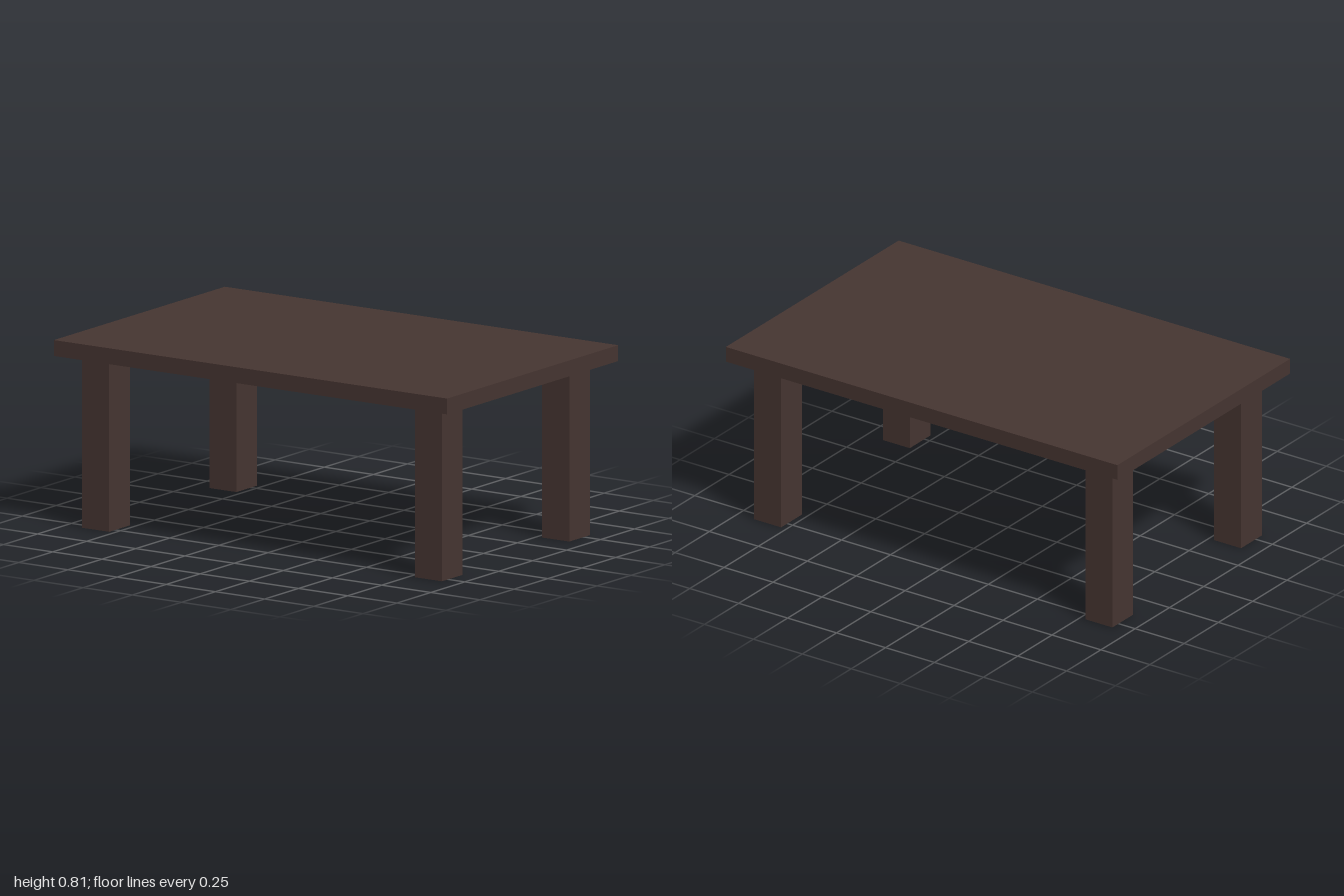
import * as THREE from 'three';

export function createModel() {
  const model = new THREE.Group();
  model.name = 'table';
  const wood = new THREE.MeshStandardMaterial({ color: 0x463531 });

  // Adds a named box centred on (x, z) with its underside at height y
  const addBox = (name, [w, h, d], [x, y, z]) => {
    const mesh = new THREE.Mesh(new THREE.BoxGeometry(w, h, d), wood);
    mesh.name = name;
    mesh.position.set(x, y + h / 2, z);
    model.add(mesh);
  };

  const legHeight = 0.741;

  // Table top
  addBox('tableTop', [2, 0.068, 1.26], [0, legHeight, 0]);

  // Four legs, set in from the corners
  for (const [side, sx] of [['Left', 1], ['Right', -1]]) {
    for (const [end, sz] of [['front', 1], ['back', -1]]) {
      addBox(`${end}${side}Leg`, [0.138, legHeight, 0.152], [sx * 0.846, 0, sz * 0.469]);
    }
  }
  return model;
}
